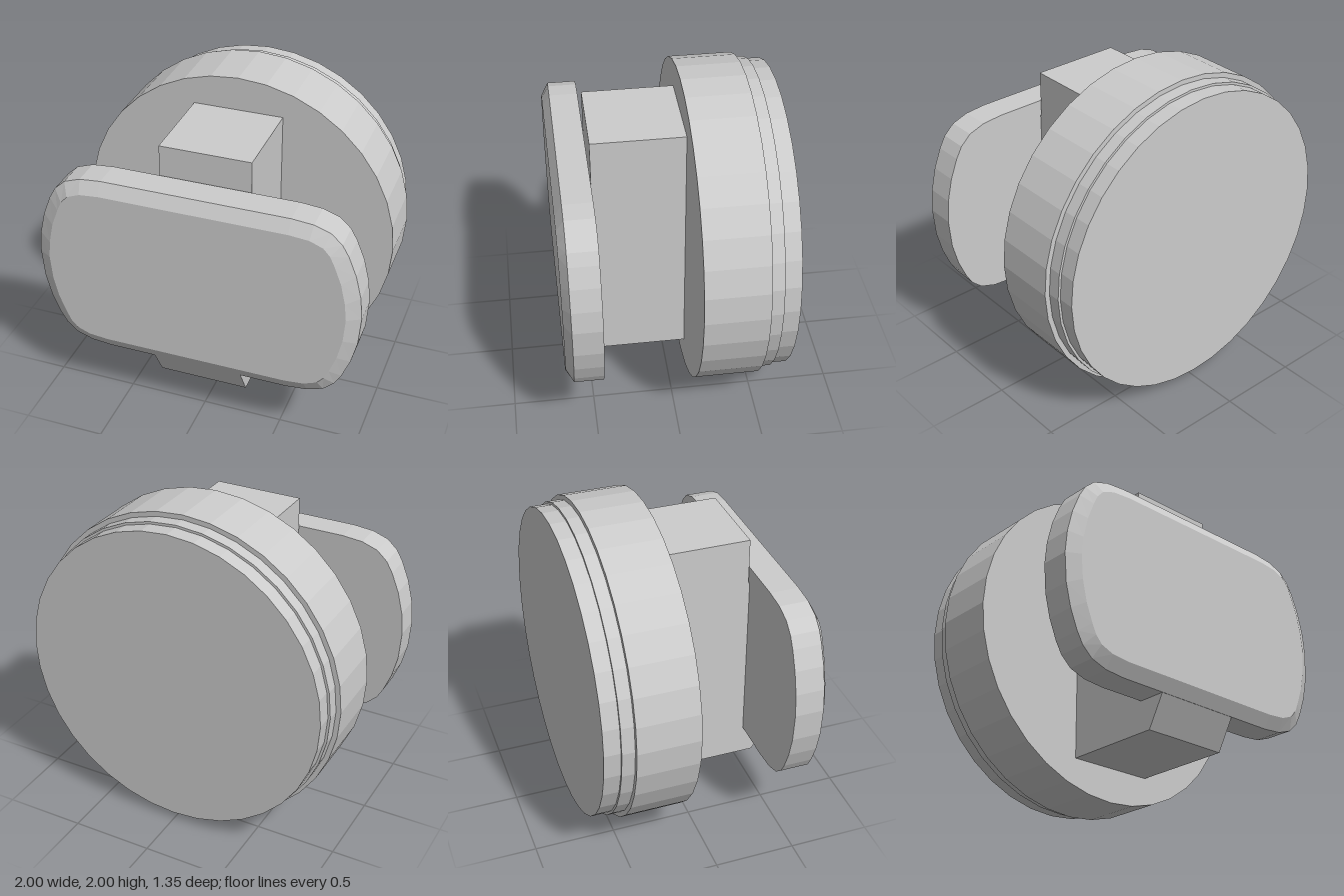
import * as THREE from 'three';

const material = new THREE.MeshStandardMaterial({ color: 0xcccccc, flatShading: true });

// Mirror one quadrant (from +x axis to the top edge) into a full counterclockwise outline
function mirrorQuadrant(q) {
  const half = [...q, ...q.map(([x, y]) => [-x, y]).reverse()];
  const lower = half.slice(1, -1).map(([x, y]) => [x, -y]).reverse();
  return [...half, ...lower];
}

// Loft matching outlines from back to front and cap both ends
function loft(sections) {
  const n = sections[0].outline.length;
  const pos = [];
  const idx = [];
  sections.forEach(({ outline, z }) => outline.forEach(([x, y]) => pos.push(x, y, z)));
  for (let s = 0; s < sections.length - 1; s++) {
    for (let i = 0; i < n; i++) {
      const j = (i + 1) % n;
      const a = s * n + i, b = s * n + j, c = a + n, d = b + n;
      idx.push(a, b, d, a, d, c);
    }
  }
  const last = sections.length - 1;
  const back = pos.length / 3;
  pos.push(0, 0, sections[0].z, 0, 0, sections[last].z);
  for (let i = 0; i < n; i++) {
    const j = (i + 1) % n;
    idx.push(back, j, i, back + 1, last * n + i, last * n + j);
  }
  const g = new THREE.BufferGeometry();
  g.setAttribute('position', new THREE.Float32BufferAttribute(pos, 3));
  g.setIndex(idx);
  const flat = g.toNonIndexed();
  flat.computeVertexNormals();
  return flat;
}

export function createModel() {
  const group = new THREE.Group();
  const add = (name, geometry, y = 0) => {
    const mesh = new THREE.Mesh(geometry, material);
    mesh.name = name;
    mesh.position.y = y;
    group.add(mesh);
  };

  // Round base with two stepped rims towards the back
  const profile = [
    [0, -0.675], [0.955, -0.675], [0.955, -0.575], [0.97, -0.575],
    [0.97, -0.497], [1, -0.497], [1, -0.112], [0, -0.112],
  ].map(([r, z]) => new THREE.Vector2(r, z));
  add('steppedDisc', new THREE.LatheGeometry(profile, 36).rotateX(Math.PI / 2), 1);

  // Stem: side profile drawn as (-z, y), extruded across x, with a sloped lower front
  const side = new THREE.Shape([
    [0.112, 0.215], [0.112, 1.79], [-0.445, 1.79],
    [-0.445, 1.5], [-0.63, 1.5], [-0.63, 0.41], [-0.52, 0.215],
  ].map(([x, y]) => new THREE.Vector2(x, y)));
  const stem = new THREE.ExtrudeGeometry(side, { depth: 0.56, bevelEnabled: false });
  stem.translate(0, 0, -0.28).rotateY(Math.PI / 2);
  add('stem', stem);

  // Front plate with curved ends and a chamfered front edge
  const outer = mirrorQuadrant([
    [1, 0.02], [0.987, 0.16], [0.953, 0.3], [0.905, 0.42],
    [0.865, 0.49], [0.8, 0.55], [0.7, 0.585], [0.57, 0.597],
  ]);
  const inner = mirrorQuadrant([
    [0.92, 0.02], [0.909, 0.13], [0.88, 0.26], [0.838, 0.37],
    [0.81, 0.43], [0.77, 0.475], [0.69, 0.507], [0.57, 0.518],
  ]);
  add('frontPlate', loft([
    { outline: outer, z: 0.453 },
    { outline: outer, z: 0.63 },
    { outline: inner, z: 0.675 },
  ]), 1.003);

  return group;
}
